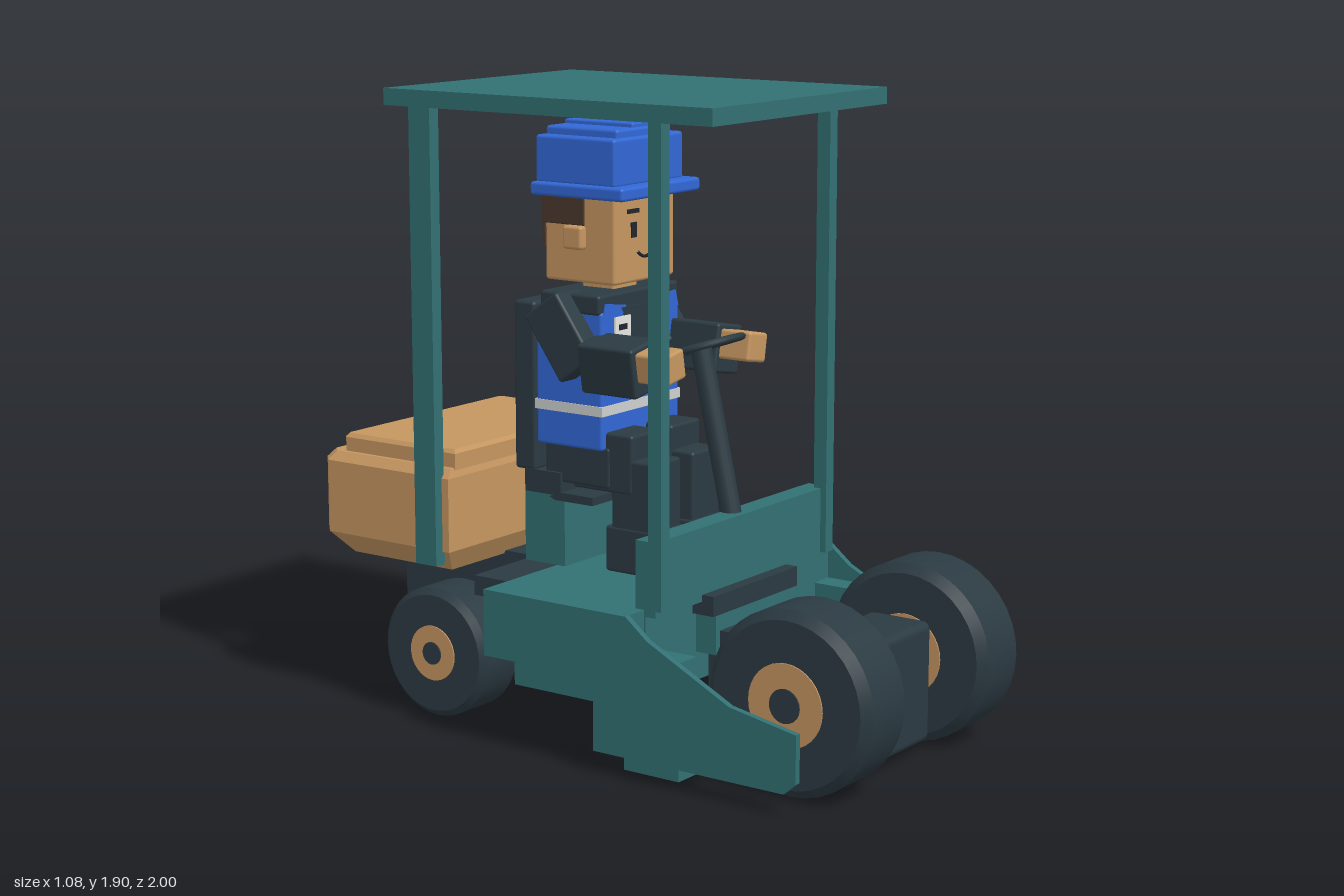
import * as THREE from 'three';
import { RoundedBoxGeometry } from 'three/addons/geometries/RoundedBoxGeometry.js';

const mat = (name, color) => {
  const m = new THREE.MeshStandardMaterial({ color });
  m.name = name;
  return m;
};

export function createModel() {
  const root = new THREE.Group();
  root.name = 'driverVehicle';
  const teal = mat('teal', 0x327073), dark = mat('charcoal', 0x2b3a42), tan = mat('tan', 0xc59660);
  const blue = mat('blue', 0x3268d6), brown = mat('hairBrown', 0x4a382d), grey = mat('stripeGrey', 0xcfd1d0);
  const white = mat('badgeWhite', 0xe8e8e4), ink = mat('ink', 0x22262a);

  const add = (name, geo, m, parent = root) => {
    const mesh = new THREE.Mesh(geo, m);
    mesh.name = name;
    parent.add(mesh);
    return mesh;
  };
  // Box from its limits on each axis; r > 0 softens the edges
  const box = (name, m, x0, x1, y0, y1, z0, z1, r = 0, parent = root) => {
    const d = [x1 - x0, y1 - y0, z1 - z0];
    const mesh = add(name, r ? new RoundedBoxGeometry(...d, 2, r) : new THREE.BoxGeometry(...d), m, parent);
    mesh.position.set((x0 + x1) / 2, (y0 + y1) / 2, (z0 + z1) / 2);
    return mesh;
  };
  // Outline in (z, y) extruded between two x positions
  const side = (name, m, pts, x0, x1) => {
    const shape = new THREE.Shape(pts.map(p => new THREE.Vector2(...p)));
    const geo = new THREE.ExtrudeGeometry(shape, { depth: x1 - x0, bevelEnabled: false });
    geo.rotateY(-Math.PI / 2);
    geo.translate(x1, 0, 0);
    return add(name, geo, m);
  };
  const rod = (name, m, a, b, r) => {
    const va = new THREE.Vector3(...a), vb = new THREE.Vector3(...b), d = vb.clone().sub(va);
    const mesh = add(name, new THREE.CylinderGeometry(r, r, d.length(), 16), m);
    mesh.position.copy(va).add(vb).multiplyScalar(0.5);
    mesh.quaternion.setFromUnitVectors(new THREE.Vector3(0, 1, 0), d.normalize());
    return mesh;
  };
  // Solid lofted through stacked rings of [x, y, z], bottom to top
  const loft = (name, m, rings) => {
    const n = rings[0].length, idx = [];
    for (let k = 0; k < rings.length - 1; k++)
      for (let i = 0; i < n; i++) {
        const a = k * n + i, b = k * n + (i + 1) % n;
        idx.push(a, b, a + n, b, b + n, a + n);
      }
    const top = (rings.length - 1) * n;
    for (let i = 1; i < n - 1; i++) idx.push(0, i + 1, i, top, top + i, top + i + 1);
    let geo = new THREE.BufferGeometry();
    geo.setAttribute('position', new THREE.Float32BufferAttribute(rings.flat(2), 3));
    geo.setIndex(idx);
    geo = geo.toNonIndexed();
    geo.computeVertexNormals();
    return add(name, geo, m);
  };

  // Wheels: chamfered tyre, tan rim and dark hub cap
  const wheel = (name, x0, x1, y, z, r, rim, hub) => {
    const g = new THREE.Group(), w = (x1 - x0) / 2, c = r * 0.1;
    g.name = name;
    // Each inner profile point is doubled so the chamfer edges stay sharp
    const prof = [[0, -w], [r - c, -w], [r - c, -w], [r, -w + c], [r, -w + c],
      [r, w - c], [r, w - c], [r - c, w], [r - c, w], [0, w]].map(p => new THREE.Vector2(...p));
    add('tyre', new THREE.LatheGeometry(prof, 36).rotateZ(Math.PI / 2), dark, g);
    add('rim', new THREE.CylinderGeometry(rim, rim, 2 * w + 0.008, 32).rotateZ(Math.PI / 2), tan, g);
    add('hub', new THREE.CylinderGeometry(hub, hub, 2 * w + 0.016, 20).rotateZ(Math.PI / 2), dark, g);
    g.position.set((x0 + x1) / 2, y, z);
    root.add(g);
  };
  for (const s of [1, -1]) {
    const span = (a, b) => s > 0 ? [a, b] : [-b, -a];
    wheel('frontWheel', ...span(0.21, 0.425), 0.275, 0.73, 0.27, 0.122, 0.05);
    wheel('rearWheel', ...span(0.25, 0.425), 0.21, -0.545, 0.2, 0.085, 0.035);

    // Side plate guarding the front wheel
    side('sidePlate', teal, [[0.84, 0.24], [0.84, 0.1], [0.8, 0.065], [0.45, 0.065], [0.45, 0.03], [0.26, 0.03],
      [0.26, 0.065], [0.15, 0.065], [0.15, 0.28], [-0.25, 0.28], [-0.25, 0.48], [0.265, 0.48], [0.34, 0.42],
      [0.62, 0.28]], ...span(0.52, 0.54));
    side('sideStep', teal, [[-0.25, 0.28], [0.44, 0.28], [0.44, 0.37], [0.265, 0.37], [0.265, 0.48], [-0.25, 0.48]],
      ...span(0.44, 0.525));

    // Canopy posts
    box('frontPost', teal, ...span(0.41, 0.45), 0.48, 1.87, 0.28, 0.325);
    box('rearPost', teal, ...span(0.41, 0.45), 0.49, 1.87, -0.585, -0.505);
  }
  rod('rearAxle', dark, [-0.3, 0.21, -0.545], [0.3, 0.21, -0.545], 0.035);
  rod('frontAxle', dark, [-0.3, 0.275, 0.73], [0.3, 0.275, 0.73], 0.05);

  // Chassis
  box('canopyRoof', teal, -0.45, 0.45, 1.86, 1.91, -0.68, 0.495);
  box('deck', teal, -0.45, 0.45, 0.28, 0.48, -0.25, 0.27);
  box('deckNose', teal, -0.2, 0.2, 0.3, 0.42, 0.26, 0.34);
  box('lowerBody', teal, -0.38, 0.38, 0.15, 0.29, -0.265, 0.15);
  box('dashPanel', teal, -0.45, 0.45, 0.46, 0.68, 0.235, 0.305);
  box('frontStrip', dark, -0.22, 0.22, 0.42, 0.48, 0.26, 0.345);
  box('crossBar', teal, -0.53, 0.53, 0.03, 0.088, 0.26, 0.45);
  box('scraperBlade', dark, -0.2, 0.2, 0.028, 0.065, 0.45, 0.6);
  box('frontHousing', dark, -0.2, 0.2, 0.03, 0.395, 0.62, 0.83, 0.025);
  box('frontHousingLink', dark, -0.18, 0.18, 0.06, 0.37, 0.3, 0.63);
  box('rearBody', dark, -0.11, 0.11, 0.15, 0.47, -0.92, -0.26);
  box('rearCrossMember', dark, -0.43, 0.43, 0.42, 0.48, -0.375, -0.25);

  // Rear container with chamfered rear corners, and its lid
  const ring = (y, w, zf, zr, c) => [[-w, y, zf], [w, y, zf], [w, y, zr + c], [w - c, y, zr],
    [-w + c, y, zr], [-w, y, zr + c]];
  loft('rearContainer', tan, [ring(0.46, 0.36, -0.52, -0.95, 0.04), ring(0.53, 0.42, -0.48, -1, 0.04),
    ring(0.755, 0.42, -0.48, -1, 0.04), ring(0.782, 0.395, -0.49, -0.975, 0.03)]);
  loft('containerLid', tan, [ring(0.775, 0.38, -0.485, -0.93, 0.01), ring(0.825, 0.38, -0.485, -0.93, 0.01),
    ring(0.837, 0.37, -0.495, -0.92, 0.01)]);

  // Seat
  box('seatPedestal', teal, -0.19, 0.19, 0.47, 0.695, -0.37, -0.22);
  box('seatBase', dark, -0.19, 0.19, 0.68, 0.705, -0.37, -0.115);
  box('seatCushion', dark, -0.19, 0.19, 0.7, 0.765, -0.37, -0.235);
  box('seatBack', dark, -0.19, 0.19, 0.76, 1.275, -0.41, -0.33, 0.012);

  // Steering column and wheel
  rod('steeringColumn', dark, [0, 0.63, 0.264], [0, 1.155, 0.145], 0.032);
  const steer = new THREE.Group();
  steer.name = 'steeringWheel';
  add('steeringRim', new THREE.TorusGeometry(0.125, 0.011, 8, 32).rotateX(Math.PI / 2), dark, steer);
  for (const a of [0, Math.PI / 2]) {
    const spoke = add('steeringSpoke', new THREE.BoxGeometry(0.24, 0.012, 0.02), dark, steer);
    spoke.rotation.y = a;
  }
  steer.position.set(0, 1.16, 0.145);
  steer.rotation.x = -0.33;
  root.add(steer);

  // Driver
  const driver = new THREE.Group();
  driver.name = 'driver';
  root.add(driver);
  const part = (name, m, ...a) => box(name, m, ...a.slice(0, 6), a[6] ?? 0.01, driver);
  part('hips', dark, -0.18, 0.18, 0.735, 0.86, -0.3, -0.06);
  part('vest', blue, -0.195, 0.195, 0.85, 1.265, -0.32, -0.075);
  part('shirtShoulders', dark, -0.2, 0.2, 1.255, 1.315, -0.3, -0.08);
  part('vestStripe', grey, -0.198, 0.198, 0.955, 0.985, -0.323, -0.072, 0);
  part('neck', tan, -0.06, 0.06, 1.3, 1.36, -0.25, -0.13);

  // Shirt opening, vest lapels and plain badge
  const plate = (name, m, pts, z) => {
    const s = new THREE.Shape(pts.map(p => new THREE.Vector2(...p)));
    add(name, new THREE.ExtrudeGeometry(s, { depth: 0.005, bevelEnabled: false }), m, driver).position.z = z;
  };
  plate('shirtOpening', dark, [[-0.03, 1.15], [0.03, 1.15], [0.07, 1.22], [0.1, 1.27], [-0.1, 1.27], [-0.07, 1.22]], -0.077);
  for (const s of [1, -1])
    plate('vestLapel', blue, [[s * 0.19, 1.24], [s * 0.175, 1.29], [s * 0.075, 1.275], [s * 0.1, 1.24]], -0.0775);
  plate('badge', white, [[-0.137, 1.14], [-0.06, 1.14], [-0.06, 1.245], [-0.137, 1.245]], -0.072);
  part('badgeBar', ink, -0.12, -0.08, 1.205, 1.222, -0.068, -0.065, 0);
  part('badgeBar', ink, -0.11, -0.07, 1.165, 1.182, -0.068, -0.065, 0);

  for (const s of [1, -1]) {
    const span = (a, b) => s > 0 ? [a, b] : [-b, -a];
    // Leg
    part('thigh', dark, ...span(0.025, 0.175), 0.725, 0.905, -0.2, 0.02);
    part('shin', dark, ...span(0.03, 0.172), 0.55, 0.83, -0.06, 0.095);
    part('boot', dark, ...span(0.025, 0.175), 0.485, 0.625, -0.08, 0.18);
    // Arm
    part('upperArm', dark, ...span(0.135, 0.262), 1.075, 1.305, -0.26, -0.115).rotation.x = -0.62;
    part('forearm', dark, ...span(0.145, 0.275), 1.045, 1.195, -0.1, 0.1).rotation.z = -s * 0.17;
    part('hand', tan, ...span(0.163, 0.26), 1.09, 1.18, 0.09, 0.205).rotation.z = -s * 0.17;
    // Face side
    part('ear', tan, ...span(0.14, 0.176), 1.44, 1.51, -0.235, -0.165);
    part('eye', ink, ...span(0.045, 0.07), 1.475, 1.52, -0.061, -0.056, 0);
    part('eyebrow', ink, ...span(0.032, 0.088), 1.547, 1.56, -0.061, -0.056, 0);
  }

  // Head, smile and hair
  part('head', tan, -0.15, 0.15, 1.34, 1.605, -0.318, -0.06);
  const smile = new THREE.QuadraticBezierCurve3(new THREE.Vector3(-0.04, 1.432, -0.058),
    new THREE.Vector3(0, 1.395, -0.058), new THREE.Vector3(0.04, 1.432, -0.058));
  add('smile', new THREE.TubeGeometry(smile, 10, 0.005, 6), ink, driver);
  part('hair', brown, -0.154, 0.154, 1.51, 1.605, -0.327, -0.17, 0.004);
  part('hairBack', brown, -0.152, 0.152, 1.44, 1.605, -0.326, -0.317, 0);

  // Cap
  part('capBrim', blue, -0.197, 0.197, 1.595, 1.635, -0.338, 0.003);
  part('capCrown', blue, -0.172, 0.172, 1.63, 1.772, -0.335, -0.043);
  part('capTop', blue, -0.135, 0.135, 1.76, 1.797, -0.325, -0.06);
  part('capRidge', blue, -0.05, 0.05, 1.79, 1.81, -0.32, -0.068, 0.006);

  return root;
}
